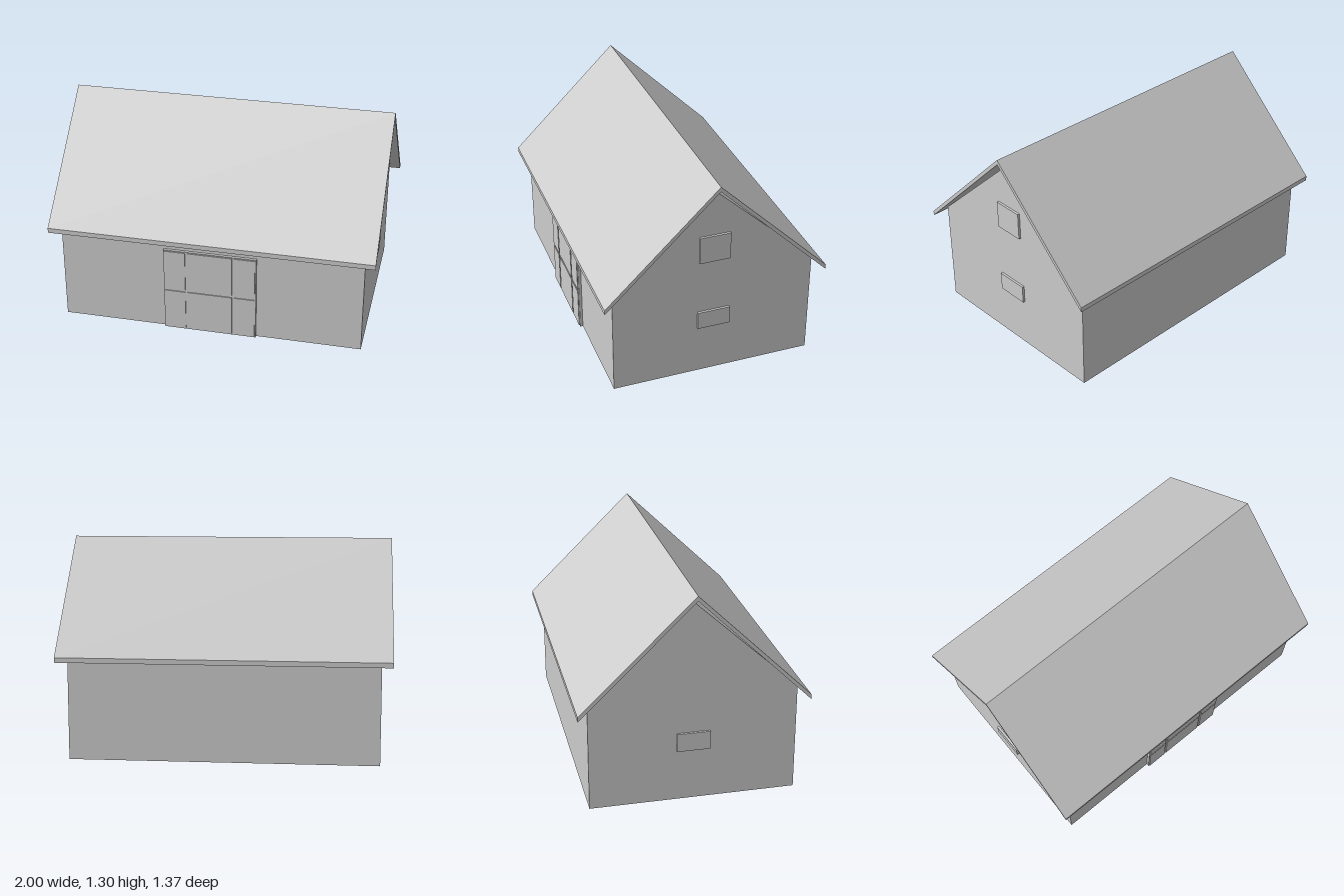
import * as THREE from 'three';

export function createModel() {
  const model = new THREE.Group();
  const plainGrey = new THREE.MeshStandardMaterial({ color: 0xcccccc });

  const add = (name, geometry, parent = model) => {
    const mesh = new THREE.Mesh(geometry, plainGrey);
    mesh.name = name;
    parent.add(mesh);
    return mesh;
  };

  // Box given by its lower and upper corners
  const box = (name, [x0, y0, z0], [x1, y1, z1], parent) =>
    add(name, new THREE.BoxGeometry(x1 - x0, y1 - y0, z1 - z0), parent)
      .position.set((x0 + x1) / 2, (y0 + y1) / 2, (z0 + z1) / 2);

  // Gable outline in (z, y), extruded along the ridge direction x
  const alongRidge = (points, length) => {
    const shape = new THREE.Shape(points.map(([z, y]) => new THREE.Vector2(-z, y)));
    return new THREE.ExtrudeGeometry(shape, { depth: length, bevelEnabled: false })
      .translate(0, 0, -length / 2)
      .rotateY(Math.PI / 2);
  };

  // House body with its gable ends
  add('walls', alongRidge(
    [[-0.62, 0], [-0.62, 0.665], [0, 1.235], [0.62, 0.665], [0.62, 0]], 1.868));

  // Thin pitched roof with overhanging eaves
  add('roof', alongRidge(
    [[-0.684, 0.603], [-0.684, 0.633], [0, 1.3], [0.684, 0.633], [0.684, 0.603], [0, 1.27]], 2));

  // Door slab with six raised panels
  const door = new THREE.Group();
  door.name = 'door';
  model.add(door);
  box('doorSlab', [-0.287, 0, 0.61], [0.287, 0.548, 0.637], door);
  for (const [x0, x1] of [[-0.28, -0.152], [-0.138, 0.138], [0.152, 0.28]]) {
    for (const [y0, y1] of [[0.008, 0.268], [0.282, 0.542]]) {
      box('doorPanel', [x0, y0, 0.63], [x1, y1, 0.643], door);
    }
  }

  // Low window on each gable end, and a loft window on the left one
  for (const side of [-1, 1]) {
    const x = [side * 0.92, side * 0.948].sort((a, b) => a - b);
    box('lowerWindow', [x[0], 0.32, -0.1], [x[1], 0.433, 0.1]);
  }
  box('loftWindow', [0.92, 0.78, -0.094], [0.948, 0.952, 0.094]);

  return model;
}
